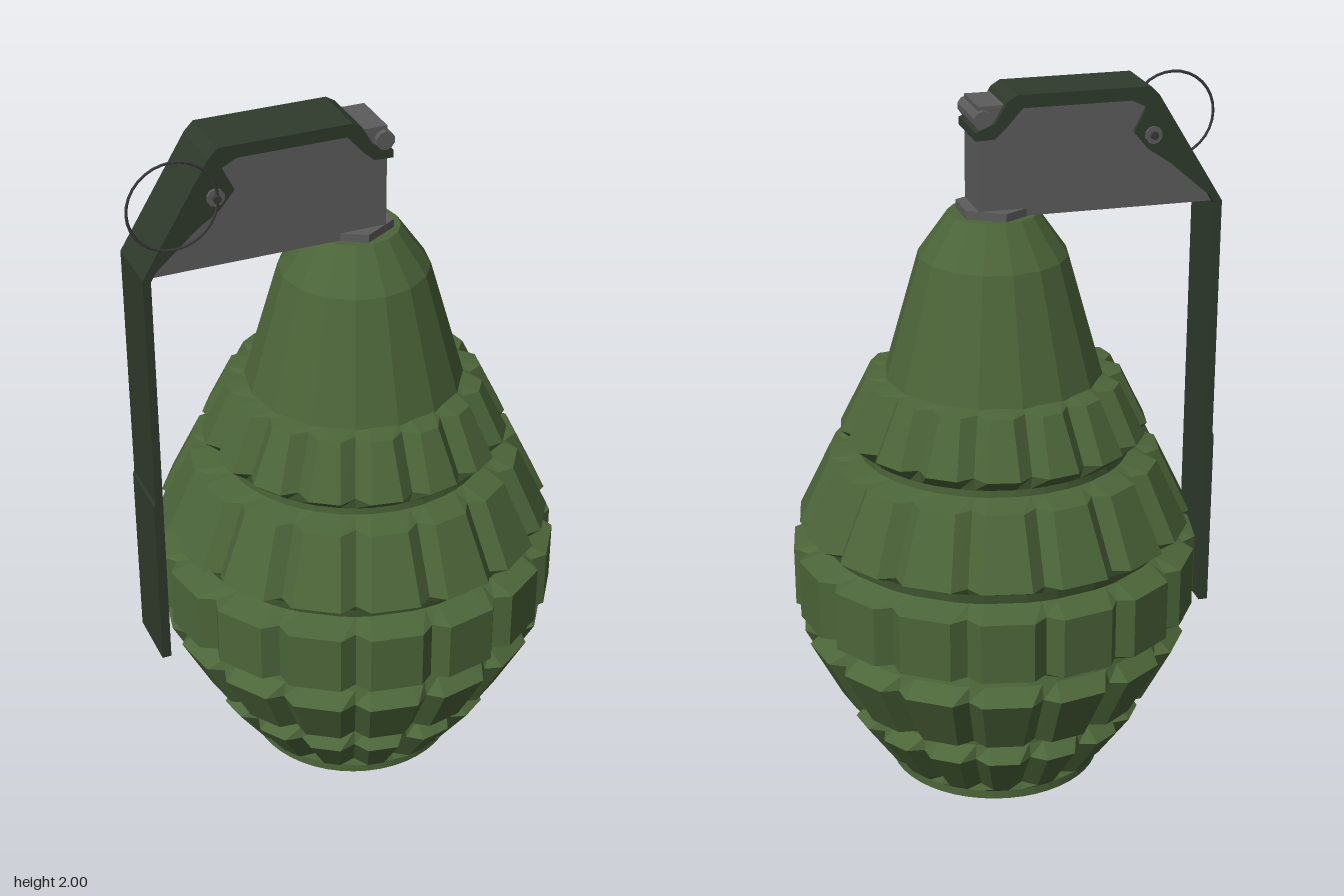
import * as THREE from 'three';

const mat = (color) => new THREE.MeshStandardMaterial({ color, flatShading: true, side: THREE.DoubleSide });
const BODY_X = 0.042;

// Segmented shell: stacked rings [radius, y, grooveDepth], 16 V-grooves each
function shellGeometry(rings, segments = 16, halfGap = 0.04) {
  const pos = [], idx = [], n = segments * 3;
  for (const [r, y, depth = 0] of rings) {
    const gap = r > 0 ? Math.min(halfGap / r, 0.13) : 0;
    for (let s = 0; s < segments; s++) {
      const a = (s / segments) * Math.PI * 2, step = (Math.PI * 2) / segments;
      for (const [t, q] of [[a, r - depth], [a + gap, r], [a + step - gap, r]]) {
        pos.push(q * Math.cos(t), y, -q * Math.sin(t));
      }
    }
  }
  for (let i = 0; i < rings.length - 1; i++) {
    for (let j = 0; j < n; j++) {
      const a = i * n + j, b = i * n + (j + 1) % n;
      idx.push(a, b, b + n, a, b + n, a + n);
    }
  }
  const g = new THREE.BufferGeometry();
  g.setAttribute('position', new THREE.Float32BufferAttribute(pos, 3));
  g.setIndex(idx);
  g.computeVertexNormals();
  return g;
}

// Side outline in x/y extruded along z between two planes
function plate(points, z0, z1) {
  const shape = new THREE.Shape(points.map(([x, y]) => new THREE.Vector2(x, y)));
  const g = new THREE.ExtrudeGeometry(shape, { depth: z1 - z0, bevelEnabled: false });
  return g.translate(0, 0, z0);
}

export function createModel() {
  const group = new THREE.Group();
  const green = mat(0x4c6539), olive = mat(0x303b2c), grey = mat(0x5c5c5c), dark = mat(0x383838);
  const add = (name, geometry, material, x = 0, y = 0, z = 0) => {
    const m = new THREE.Mesh(geometry, material);
    m.name = name;
    m.position.set(x, y, z);
    group.add(m);
    return m;
  };

  // Body: base, five rows of blocks and the channels between them
  const d = 0.033;
  add('body', shellGeometry([
    [0, 0], [0.245, 0], [0.3, 0.035], [0.3, 0.06],
    [0.325, 0.08, d], [0.42, 0.217, d], [0.375, 0.255],
    [0.375, 0.28], [0.456, 0.297, d], [0.543, 0.467, d], [0.495, 0.505],
    [0.485, 0.53], [0.565, 0.557, d], [0.565, 0.727, d], [0.485, 0.75],
    [0.495, 0.78], [0.545, 0.806, d], [0.456, 0.99, d], [0.375, 1.005],
    [0.375, 1.025], [0.422, 1.066, d], [0.35, 1.213, d], [0.29, 1.222],
  ]), green, BODY_X);

  // Neck cone and collar
  const neckProfile = [[0.3, 1.215], [0.29, 1.25], [0.203, 1.555], [0.122, 1.67], [0, 1.67]];
  add('neck', new THREE.LatheGeometry(neckProfile.map(([r, y]) => new THREE.Vector2(r, y)), 16), green, BODY_X);
  add('collar', new THREE.CylinderGeometry(0.11, 0.11, 0.03, 6), grey, 0.035, 1.677);

  // Fuse housing
  add('fuseHousing', plate([
    [-0.555, 1.672], [0.1, 1.672], [0.1, 1.972], [0.04, 1.972], [0, 1.98], [-0.36, 1.98],
  ], -0.073, 0.073), grey);
  const hinge = add('hingePin', new THREE.CylinderGeometry(0.026, 0.026, 0.175, 10), grey, 0.09, 1.937);
  hinge.rotation.x = Math.PI / 2;

  // Safety lever: bent strip with a side flange on each edge
  add('lever', plate([
    [-0.573, 0.475], [-0.573, 0.99], [-0.569, 1.0], [-0.569, 1.675], [-0.385, 1.975], [-0.36, 2],
    [0, 2], [0.025, 1.985], [0.058, 1.93], [0.085, 1.91], [0.112, 1.908], [0.112, 1.886],
    [0.075, 1.888], [0.04, 1.915], [0.008, 1.968], [-0.005, 1.978],
    [-0.35, 1.978], [-0.368, 1.96], [-0.547, 1.668], [-0.547, 0.475],
  ], -0.09, 0.085), olive);
  const flange = [
    [-0.567, 1.675], [-0.385, 1.975], [-0.36, 2], [0, 2], [0.025, 1.985], [0.058, 1.93],
    [0.112, 1.908], [0.112, 1.886], [0.06, 1.888], [0.03, 1.915], [-0.015, 1.965],
    [-0.31, 1.965], [-0.35, 1.945], [-0.318, 1.88], [-0.36, 1.83], [-0.42, 1.79], [-0.547, 1.68],
  ];
  for (const [name, z] of [['leftFlange', -0.09], ['rightFlange', 0.073]]) {
    add(name, plate(flange, z, z + 0.012), olive);
  }

  // Safety pin, its end washers and the pull ring
  const pin = add('safetyPin', new THREE.CylinderGeometry(0.011, 0.011, 0.21, 8), dark, -0.37, 1.87, 0);
  pin.rotation.x = Math.PI / 2;
  for (const z of [-0.092, 0.088]) {
    const washer = add('pinWasher', new THREE.CylinderGeometry(0.024, 0.024, 0.01, 10), grey, -0.37, 1.87, z);
    washer.rotation.x = Math.PI / 2;
  }
  add('pullRing', new THREE.TorusGeometry(0.119, 0.004, 6, 32), dark, -0.485, 1.87, 0.094);

  return group;
}
